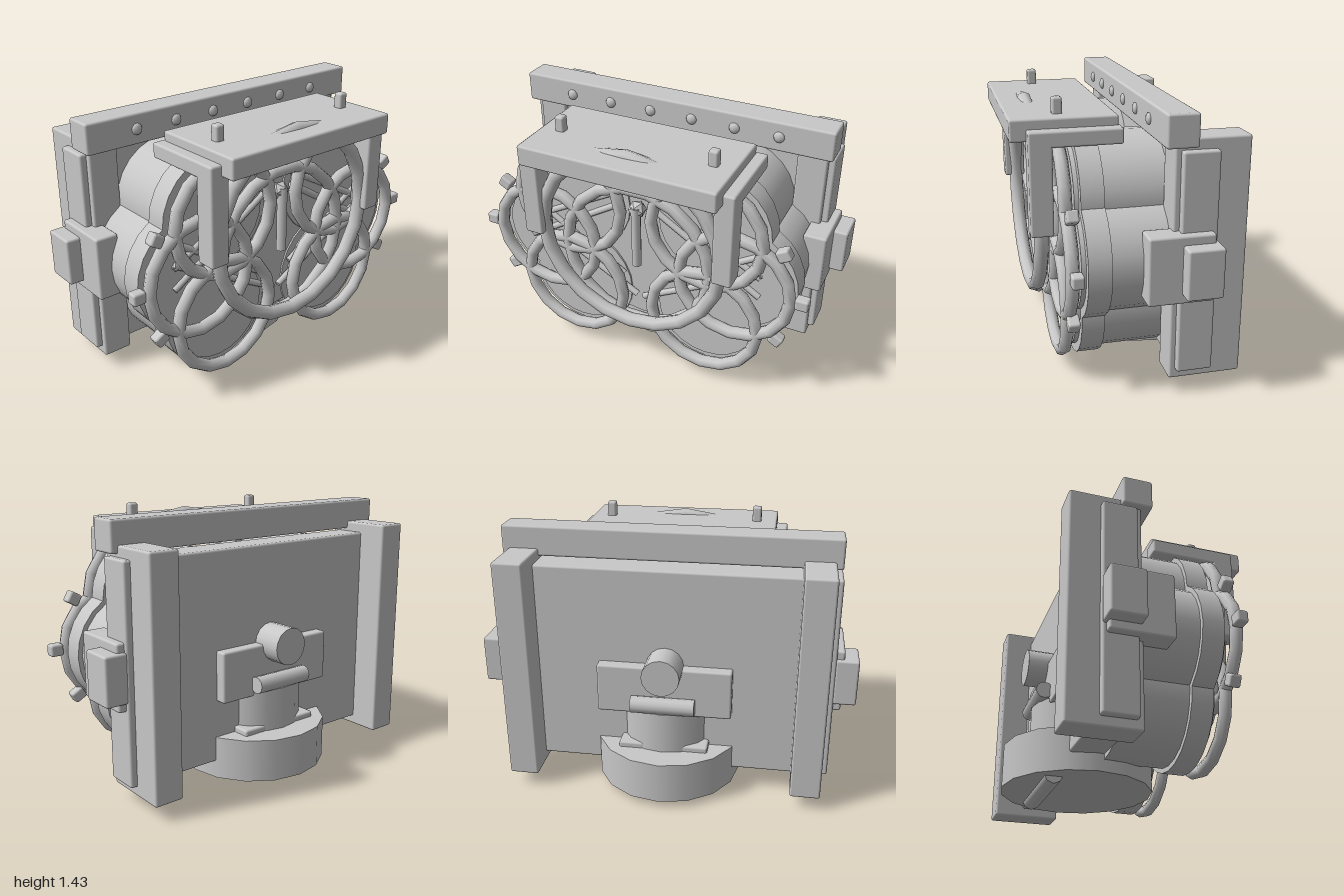
import * as THREE from 'three';
import { RoundedBoxGeometry } from 'three/addons/geometries/RoundedBoxGeometry.js';

const grey = new THREE.MeshStandardMaterial({ color: 0xc8c8c8 });
grey.name = 'light grey';

export function createModel() {
  const model = new THREE.Group();
  model.name = 'mechanicalHead';

  function add(name, geometry, x, y, z) {
    const mesh = new THREE.Mesh(geometry, grey);
    mesh.name = name;
    mesh.position.set(x, y, z);
    model.add(mesh);
    return mesh;
  }
  // Softly bevelled box given by its limits
  function box(name, x0, x1, y0, y1, z0, z1) {
    const w = x1 - x0, h = y1 - y0, d = z1 - z0;
    const r = Math.min(0.012, Math.min(w, h, d) / 4);
    return add(name, new RoundedBoxGeometry(w, h, d, 2, r), (x0 + x1) / 2, (y0 + y1) / 2, (z0 + z1) / 2);
  }
  // The same box on both sides
  function pair(name, x0, x1, ...rest) {
    box(name, x0, x1, ...rest);
    box(name, -x1, -x0, ...rest);
  }
  // Round part lying along z
  function drum(name, x, y, r, z0, z1, sides = 24) {
    const g = new THREE.CylinderGeometry(r, r, z1 - z0, sides).rotateX(Math.PI / 2);
    return add(name, g, x, y, (z0 + z1) / 2);
  }
  // Straight round bar between two points
  function bar(name, a, b, r, sides = 8) {
    const from = new THREE.Vector3(...a), to = new THREE.Vector3(...b);
    const dir = to.clone().sub(from);
    const mid = from.clone().add(to).multiplyScalar(0.5);
    const mesh = add(name, new THREE.CylinderGeometry(r, r, dir.length(), sides), mid.x, mid.y, mid.z);
    mesh.quaternion.setFromUnitVectors(new THREE.Vector3(0, 1, 0), dir.normalize());
    return mesh;
  }
  function ring(name, x, y, z, r, tube, sides = 16) {
    return add(name, new THREE.TorusGeometry(r, tube, 8, sides), x, y, z);
  }

  // Rear frame
  box('backPanel', -0.885, 0.885, 0.13, 1.245, -0.33, -0.15);
  box('topBeam', -0.885, 0.885, 1.26, 1.42, -0.225, -0.07);
  pair('post', 0.69, 0.85, 0.08, 1.3, -0.49, -0.12);
  pair('sideBlock', 0.8, 0.925, 0.52, 0.86, -0.31, 0.015);
  pair('sideCap', 0.88, 1.0, 0.565, 0.815, -0.33, -0.15);
  for (let i = 0; i < 6; i++) {
    const bolt = add('beamBolt', new THREE.SphereGeometry(0.03, 8, 6), -0.6 + i * 0.24, 1.34, -0.07);
    bolt.scale.z = 0.6;
  }

  // Round foot, neck and rear fittings
  add('foot', new THREE.CylinderGeometry(0.395, 0.395, 0.225, 16), 0, 0.152, -0.19);
  add('neck', new THREE.CylinderGeometry(0.26, 0.26, 0.24, 16), 0, 0.37, -0.19);
  box('footLedge', -0.24, 0.24, 0.24, 0.295, -0.425, -0.3);
  bar('footBar', [-0.25, 0.05, -0.375], [0.25, 0.05, -0.375], 0.048);
  box('rearPlate', -0.36, 0.36, 0.46, 0.73, -0.39, -0.32);
  bar('rearBar', [-0.17, 0.53, -0.42], [0.17, 0.53, -0.42], 0.045, 12);
  drum('rearKnob', 0, 0.725, 0.1, -0.495, -0.33, 16);

  // Clustered drums: three lobes on each side around a central drum
  const cy = 0.675;
  drum('centreDrum', 0, cy, 0.4, -0.16, 0.17);
  drum('centreRim', 0, cy, 0.42, 0.17, 0.275);
  for (const s of [-1, 1]) {
    for (const deg of [-60, 0, 60]) {
      const a = deg * Math.PI / 180;
      const x = s * (0.235 + 0.315 * Math.cos(a)), y = cy + 0.315 * Math.sin(a);
      drum('lobeDrum', x, y, 0.3, -0.16, 0.17);
      drum('lobeRim', x, y, 0.325, 0.17, 0.285);
      drum('lobeFace', x, y, 0.28, 0.28, 0.308);
      ring('lobeRing', x, y, 0.355, 0.305, 0.034);
    }
    // Small clips on the outer edge of the rings
    for (const [x, y, turn] of [[0.8, 0.95, 0.52], [0.915, 0.687, 0], [0.8, 0.415, -0.52]]) {
      const clip = box('ringClip', s * x - 0.035, s * x + 0.035, y - 0.032, y + 0.032, 0.315, 0.375);
      clip.rotation.z = s * turn;
    }
    // Slanted bars across the drum faces
    for (const y of [0.4, 0.52, 0.98, 1.1]) {
      const dir = y < 0.7 ? 1 : -1;
      const x0 = y === 0.4 || y === 1.1 ? 0.02 : 0.1;
      bar('faceBar', [s * x0, y, 0.31], [s * 0.68, y + dir * 0.36, 0.31], 0.018);
    }
  }
  ring('centreRing', 0, 0.69, 0.355, 0.42, 0.034, 18);

  // Central pointer with a small hub
  bar('pointer', [0, 0.64, 0.35], [0, 1.0, 0.35], 0.027);
  add('pointerHub', new THREE.IcosahedronGeometry(0.05, 0), 0, 0.98, 0.33);

  // Front visor: shelf, arms, hanging legs and the large loop
  box('shelf', -0.53, 0.53, 1.24, 1.35, 0.057, 0.585);
  pair('shelfArm', 0.485, 0.59, 1.22, 1.3, 0.045, 0.505);
  pair('shelfLeg', 0.485, 0.59, 0.78, 1.3, 0.39, 0.505);
  pair('shelfPin', 0.393, 0.443, 1.33, 1.43, 0.315, 0.365);
  ring('frontLoop', 0, 0.83, 0.44, 0.51, 0.039, 20);

  return model;
}
